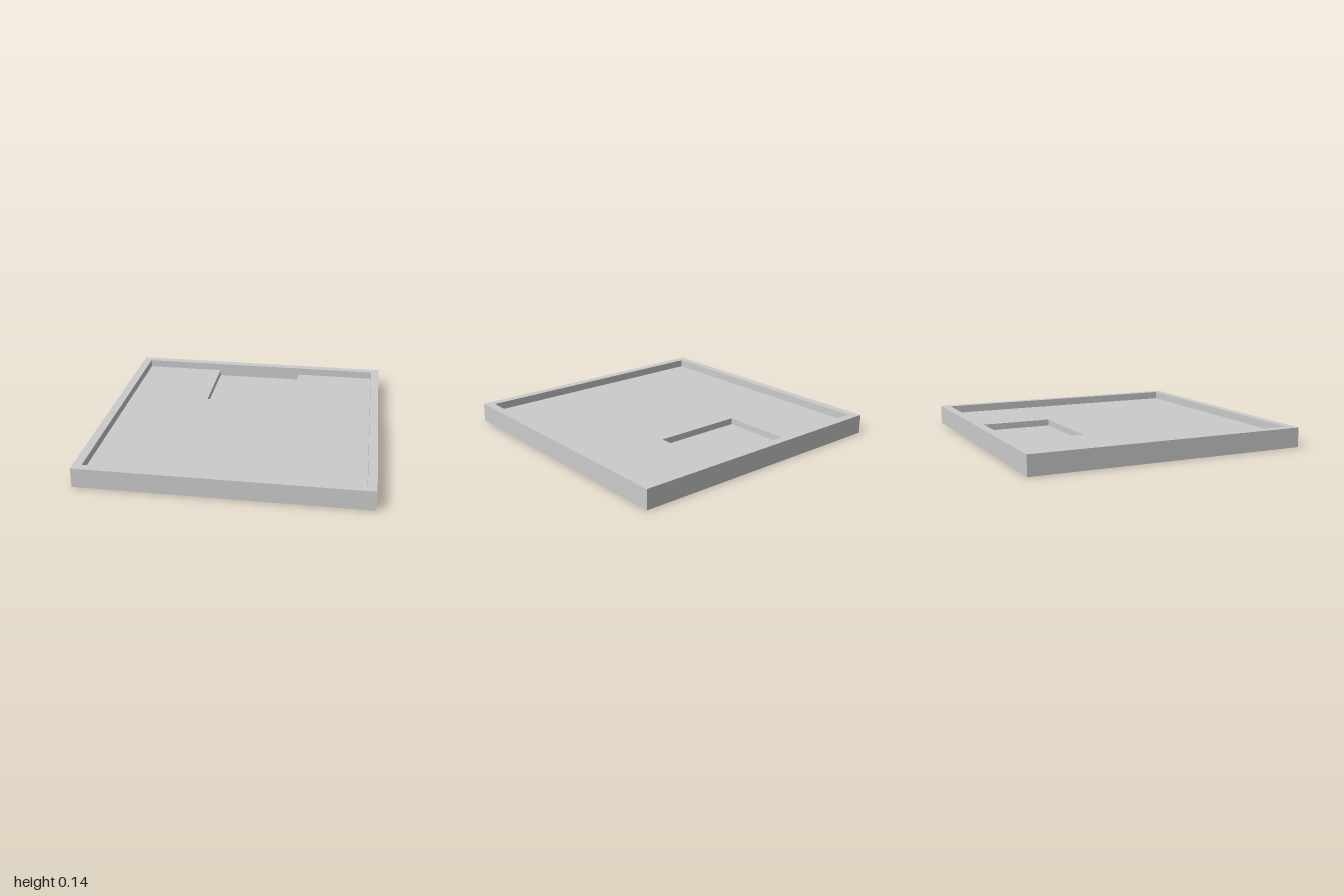
import * as THREE from 'three';
import { mergeGeometries } from 'three/addons/utils/BufferGeometryUtils.js';

const TOP = 0.139, FLOOR = 0.083, RECESS = 0.037; // heights of the three levels
const OUT = 1, IN = 0.939;                        // half widths outside and inside the rim

// Rectangle as [x, z] corners, counter-clockwise seen from above
const rect = (x0, x1, z0, z1) => [[x0, z1], [x1, z1], [x1, z0], [x0, z0]];

const toVectors = (loop) => loop.map(([x, z]) => new THREE.Vector2(x, -z));

// Flat horizontal face at height y, optionally with a hole
function cap(loop, y, hole, faceDown = false) {
  const shape = new THREE.Shape(toVectors(loop));
  if (hole) shape.holes.push(new THREE.Path(toVectors(hole)));
  const g = new THREE.ShapeGeometry(shape).rotateX(-Math.PI / 2);
  if (faceDown) g.rotateX(Math.PI);
  return g.translate(0, y, 0).toNonIndexed();
}

// Vertical walls along a closed loop; inward walls face the loop's middle
function walls(loop, y0, y1, inward = false) {
  const path = inward ? [...loop].reverse() : loop;
  const pos = [], uv = [];
  path.forEach(([ax, az], i) => {
    const [bx, bz] = path[(i + 1) % path.length];
    pos.push(ax, y0, az, bx, y0, bz, bx, y1, bz, ax, y0, az, bx, y1, bz, ax, y1, az);
    uv.push(0, 0, 1, 0, 1, 1, 0, 0, 1, 1, 0, 1);
  });
  const g = new THREE.BufferGeometry();
  g.setAttribute('position', new THREE.Float32BufferAttribute(pos, 3));
  g.setAttribute('uv', new THREE.Float32BufferAttribute(uv, 2));
  g.computeVertexNormals();
  return g;
}

export function createModel() {
  const group = new THREE.Group();
  group.name = 'tray';
  const material = new THREE.MeshStandardMaterial({ color: 0xcccccc, flatShading: true });
  const add = (name, ...parts) => {
    const mesh = new THREE.Mesh(mergeGeometries(parts), material);
    mesh.name = name;
    group.add(mesh);
  };

  const outer = rect(-OUT, OUT, -OUT, OUT);
  const inner = rect(-IN, IN, -IN, IN);
  const rw = 0.334, rz = -0.337; // recess half width and front edge
  const recess = rect(-rw, rw, -IN, rz);

  // Outer sides and underside
  add('body', walls(outer, 0, TOP), cap(outer, 0, null, true));

  // Raised border: top face and inner walls
  add('rim', cap(outer, TOP, inner), walls(inner, FLOOR, TOP, true));

  // Main floor, notched at the back around the recess
  add('floor', cap([
    [-IN, IN], [IN, IN], [IN, -IN], [rw, -IN], [rw, rz], [-rw, rz], [-rw, -IN], [-IN, -IN],
  ], FLOOR));

  // Sunken rectangle against the back rim
  add('recess', cap(recess, RECESS), walls(recess, RECESS, FLOOR, true));

  return group;
}
